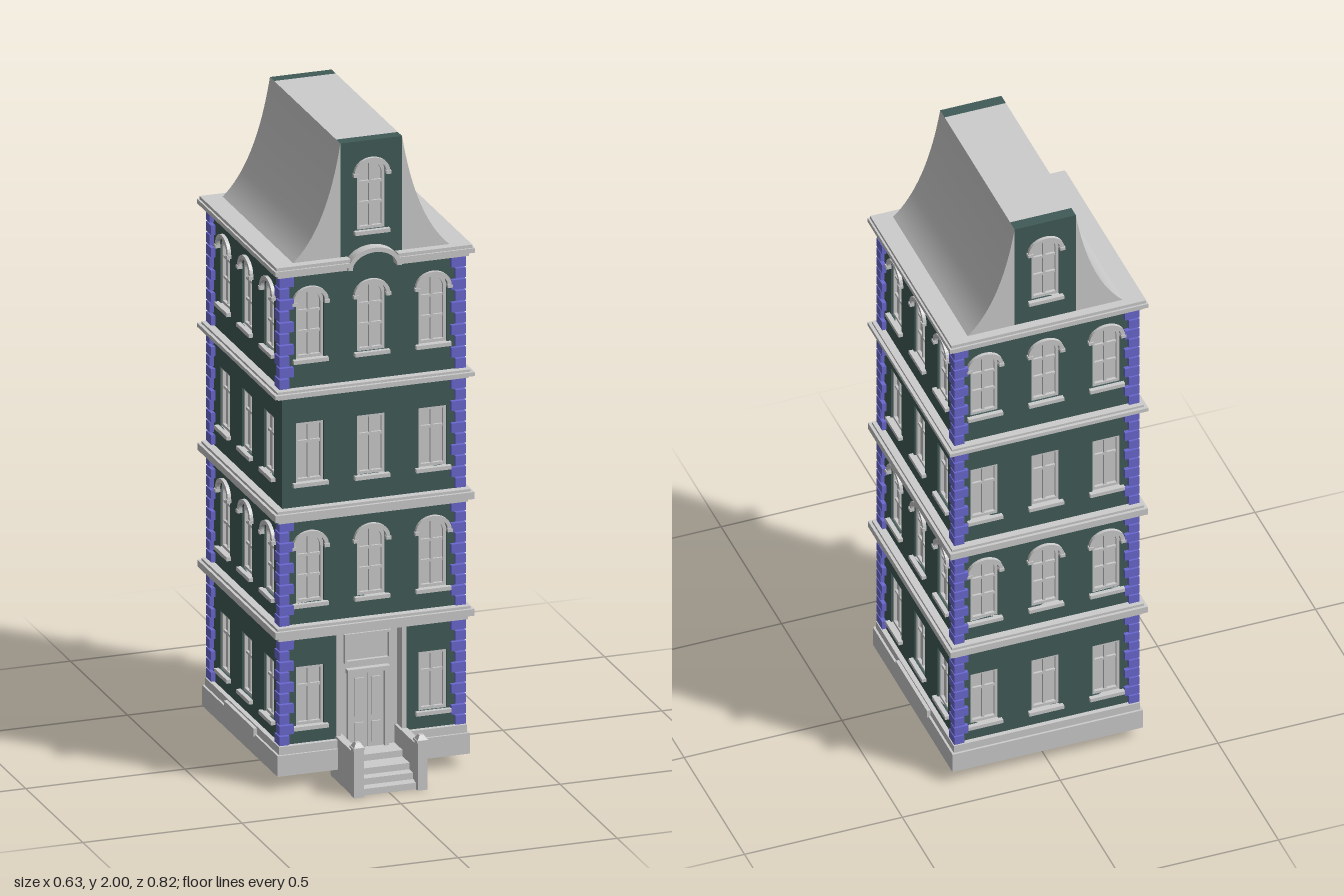
import * as THREE from 'three';
import { toCreasedNormals } from 'three/addons/utils/BufferGeometryUtils.js';

const material = (name, color) => Object.assign(new THREE.MeshStandardMaterial({ color }), { name });

export function createModel() {
  const stone = material('pale stone', 0xcccccc);
  const green = material('green plaster', 0x415b57);
  const blue = material('blue quoins', 0x6a68d0);
  const model = new THREE.Group();
  model.name = 'townhouse';

  const HW = 0.28, HD = 0.308, CZ = -0.068, T = 0.02; // wall half width, half depth, centre, thickness
  const OW = 0.044, RISE = 0.034;                      // window half width, arch rise

  const add = (parent, name, geo, mat, x = 0, y = 0, z = 0) => {
    const mesh = new THREE.Mesh(geo, mat);
    mesh.name = name;
    mesh.position.set(x, y, z);
    parent.add(mesh);
    return mesh;
  };
  // Box given by its limits on each axis
  const box = (parent, name, mat, x0, x1, y0, y1, z0, z1) =>
    add(parent, name, new THREE.BoxGeometry(x1 - x0, y1 - y0, z1 - z0), mat,
      (x0 + x1) / 2, (y0 + y1) / 2, (z0 + z1) / 2);
  const extrude = (shape, depth, curveSegments = 8) =>
    new THREE.ExtrudeGeometry(shape, { depth, bevelEnabled: false, curveSegments });

  // Rectangular or arched outline standing on (x, y)
  function outline(path, x, y, hw, h, arched) {
    path.moveTo(x - hw, y);
    path.lineTo(x + hw, y);
    if (arched) {
      path.lineTo(x + hw, y + h - RISE);
      path.absellipse(x, y + h - RISE, hw, RISE, 0, Math.PI, false, 0);
    } else {
      path.lineTo(x + hw, y + h);
      path.lineTo(x - hw, y + h);
    }
    path.closePath();
    return path;
  }
  function archBand(rx, ry, band) {
    const s = new THREE.Shape();
    s.moveTo(rx + band, 0);
    s.absellipse(0, 0, rx + band, ry + band, 0, Math.PI, false, 0);
    s.lineTo(-rx, 0);
    s.absellipse(0, 0, rx, ry, Math.PI, 0, true, 0);
    s.closePath();
    return s;
  }

  // Window with recessed pane, frame, glazing bars, sill and optional hood; z = 0 is the wall face
  function addWindow(parent, x, y, z, h, arched) {
    const g = new THREE.Group();
    g.name = arched ? 'archedWindow' : 'window';
    g.position.set(x, y, z);
    parent.add(g);
    add(g, 'pane', extrude(outline(new THREE.Shape(), 0, 0, OW, h, arched), 0.004), stone, 0, 0, -T);
    const ring = outline(new THREE.Shape(), 0, 0, OW, h, arched);
    ring.holes.push(outline(new THREE.Path(), 0, 0.009, OW - 0.009, h - 0.018, arched));
    add(g, 'frame', extrude(ring, 0.01), stone, 0, 0, -0.016);
    box(g, 'mullion', stone, -0.004, 0.004, 0.005, h - 0.005, -0.016, -0.009);
    for (const f of arched ? [0.38, 0.68] : [0.66])
      box(g, 'glazingBar', stone, -OW + 0.004, OW - 0.004, h * f - 0.004, h * f + 0.004, -0.016, -0.009);
    box(g, 'sill', stone, -0.055, 0.055, -0.012, 0, -0.016, 0.014);
    if (arched) {
      add(g, 'hood', extrude(archBand(OW, RISE, 0.012), 0.012), stone, 0, h - RISE, -0.001);
      for (const s of [-1, 1])
        box(g, 'hoodStop', stone, s * 0.051 - 0.008, s * 0.051 + 0.008, h - RISE - 0.01, h - RISE, -0.001, 0.014);
    }
  }

  // Storeys: bottom and top of the quoins, window sill and height
  const storeys = [
    { y0: 0.13, y1: 0.462, sill: 0.185, h: 0.185, arched: false },
    { y0: 0.505, y1: 0.835, sill: 0.57, h: 0.215, arched: true },
    { y0: 0.875, y1: 1.222, sill: 0.95, h: 0.187, arched: false },
    { y0: 1.25, y1: 1.605, sill: 1.338, h: 0.215, arched: true },
  ];

  // Four walls, each built facing +z and turned into place
  ['front', 'left', 'back', 'right'].forEach((side, k) => {
    const g = new THREE.Group();
    g.name = side + 'Face';
    g.position.z = CZ;
    g.rotation.y = k * Math.PI / 2;
    model.add(g);
    const front = k === 0, across = k % 2 === 0;
    const d = across ? HD : HW;
    const half = across ? HW : HD - T;
    const s = new THREE.Shape();
    s.moveTo(-half, 0.05);
    if (front) for (const [x, y] of [[-0.1, 0.05], [-0.1, 0.463], [0.1, 0.463], [0.1, 0.05]]) s.lineTo(x, y);
    s.lineTo(half, 0.05);
    s.lineTo(half, 1.64);
    s.lineTo(-half, 1.64);
    s.closePath();
    storeys.forEach((f, i) => {
      for (const x of [-0.193, 0, 0.193]) {
        if (front && i === 0 && x === 0) continue; // entrance
        s.holes.push(outline(new THREE.Path(), x, f.sill, OW, f.h, f.arched));
        addWindow(g, x, f.sill, d, f.h, f.arched);
      }
    });
    add(g, side + 'Wall', extrude(s, T), green, 0, 0, d - T);
    // Plinth tiers
    for (const [out, y0, y1] of [[0.022, 0.04, 0.105], [0.015, 0.105, 0.13]]) {
      const len = (across ? HW : HD) + out;
      if (front) {
        box(g, 'plinth', stone, -len, -0.1, y0, y1, d - 0.03, d + out);
        box(g, 'plinth', stone, 0.1, len, y0, y1, d - 0.03, d + out);
      } else box(g, 'plinth', stone, -len, len, y0, y1, d - 0.03, d + out);
    }
    if (!across) box(g, 'plinthPanel', stone, -0.13, 0.13, 0.1, 0.125, d, d + 0.026);
  });

  // Corner quoins, long sides alternating
  for (const sx of [-1, 1]) for (const sz of [-1, 1]) storeys.forEach((f, i) => {
    if (i === 2 && sx < 0 && sz > 0) return; // bare corner
    const n = 10, p = (f.y1 - f.y0) / n;
    for (let j = 0; j < n; j++) {
      const wx = j % 2 ? 0.045 : 0.032, wz = j % 2 ? 0.032 : 0.045;
      add(model, 'quoin', new THREE.BoxGeometry(wx, p - 0.005, wz), blue,
        sx * (HW + 0.013 - wx / 2), f.y0 + p * (j + 0.5), CZ + sz * (HD + 0.013 - wz / 2));
    }
  });

  // String courses between storeys
  const tiers = [
    [0.018, 0.462, 0.476], [0.033, 0.476, 0.497], [0.024, 0.497, 0.505],
    [0.018, 0.832, 0.843], [0.033, 0.843, 0.865], [0.024, 0.865, 0.873],
    [0.02, 1.222, 1.23], [0.034, 1.23, 1.242], [0.024, 1.242, 1.249],
  ];
  for (const [o, y0, y1] of tiers)
    box(model, 'stringCourse', stone, -HW - o, HW + o, y0, y1, CZ - HD - o, CZ + HD + o);

  // Top cornice, broken at the front by an arch
  const FZ = CZ + HD, BZ = CZ - HD;
  for (const [o, y0, y1] of [[0.02, 1.605, 1.618], [0.034, 1.618, 1.632], [0.028, 1.632, 1.642]]) {
    box(model, 'cornice', stone, -HW - o, HW + o, y0, y1, BZ - o, FZ - 0.001);
    for (const s of [-1, 1])
      box(model, 'frontCornice', stone, s < 0 ? -HW - o : 0.075, s < 0 ? -0.075 : HW + o, y0, y1, FZ - 0.001, FZ + o);
  }
  add(model, 'corniceArch', extrude(archBand(0.07, 0.05, 0.014), 0.036, 16), stone, 0, 1.608, FZ - 0.002);

  // Roof: concave flanks, flat ridge and a gable at each end
  const RW = 0.097, RT = 0.037;
  for (const s of [-1, 1]) {
    const flank = new THREE.Shape();
    flank.moveTo(s * RW, 1.64);
    flank.lineTo(s * 0.248, 1.64);
    flank.quadraticCurveTo(s * 0.14, 1.735, s * RW, 2);
    flank.closePath();
    add(model, 'roofFlank', toCreasedNormals(extrude(flank, 2 * HD, 16), 0.5), stone, 0, 0, BZ);
  }
  box(model, 'roofRidge', stone, -RW, RW, 1.64, 2, BZ + RT, FZ - RT);
  for (const k of [0, 1]) {
    const g = new THREE.Group();
    g.name = k ? 'backGable' : 'frontGable';
    g.position.z = CZ;
    g.rotation.y = k * Math.PI;
    const s = new THREE.Shape();
    outline(s, 0, 1.64, RW, 0.36, false);
    s.holes.push(outline(new THREE.Path(), 0, 1.72, OW, 0.215, true));
    add(g, 'gableWall', extrude(s, RT), green, 0, 0, HD - RT);
    addWindow(g, 0, 1.72, HD, 0.215, true);
    model.add(g);
  }

  // Recessed entrance with double door and transom
  const entrance = new THREE.Group();
  entrance.name = 'entrance';
  model.add(entrance);
  const DZ = 0.2;
  box(entrance, 'porchBack', stone, -0.11, 0.11, 0, 0.463, DZ - 0.012, DZ);
  for (const s of [-1, 1]) {
    box(entrance, 'porchSide', stone, s * 0.103 - 0.007, s * 0.103 + 0.007, 0, 0.463, DZ, FZ + 0.003);
    box(entrance, 'doorPost', stone, s * 0.058 - 0.006, s * 0.058 + 0.006, 0.08, 0.325, DZ, DZ + 0.016);
    box(entrance, 'doorLeaf', stone, s * 0.026 - 0.024, s * 0.026 + 0.024, 0.08, 0.315, DZ, DZ + 0.006);
    for (const [y0, y1] of [[0.095, 0.16], [0.18, 0.3]])
      box(entrance, 'doorPanel', stone, s * 0.026 - 0.014, s * 0.026 + 0.014, y0, y1, DZ, DZ + 0.011);
  }
  box(entrance, 'doorLintel', stone, -0.066, 0.066, 0.318, 0.332, DZ, DZ + 0.02);
  const transom = outline(new THREE.Shape(), 0, 0.35, 0.073, 0.092, false);
  transom.holes.push(outline(new THREE.Path(), 0, 0.357, 0.066, 0.078, false));
  add(entrance, 'transomFrame', extrude(transom, 0.012), stone, 0, 0, DZ);

  // Stoop: steps between two cheek walls with capped posts
  const stoop = new THREE.Group();
  stoop.name = 'stoop';
  model.add(stoop);
  [0.395, 0.362, 0.33, 0.27].forEach((z, i) =>
    box(stoop, 'step', stone, -0.092, 0.092, i * 0.02, (i + 1) * 0.02, DZ, z));
  for (const s of [-1, 1]) {
    const x = s * 0.1;
    box(stoop, 'cheekWall', stone, x - 0.012, x + 0.012, 0, 0.138, DZ, 0.395);
    box(stoop, 'post', stone, x - 0.015, x + 0.015, 0, 0.15, 0.381, 0.411);
    box(stoop, 'postCap', stone, x - 0.018, x + 0.018, 0.15, 0.157, 0.378, 0.414);
    const tip = add(stoop, 'postTip', new THREE.CylinderGeometry(0.01, 0.022, 0.014, 4).toNonIndexed(), stone, x, 0.164, 0.396);
    tip.geometry.computeVertexNormals();
    tip.rotation.y = Math.PI / 4;
  }
  return model;
}
